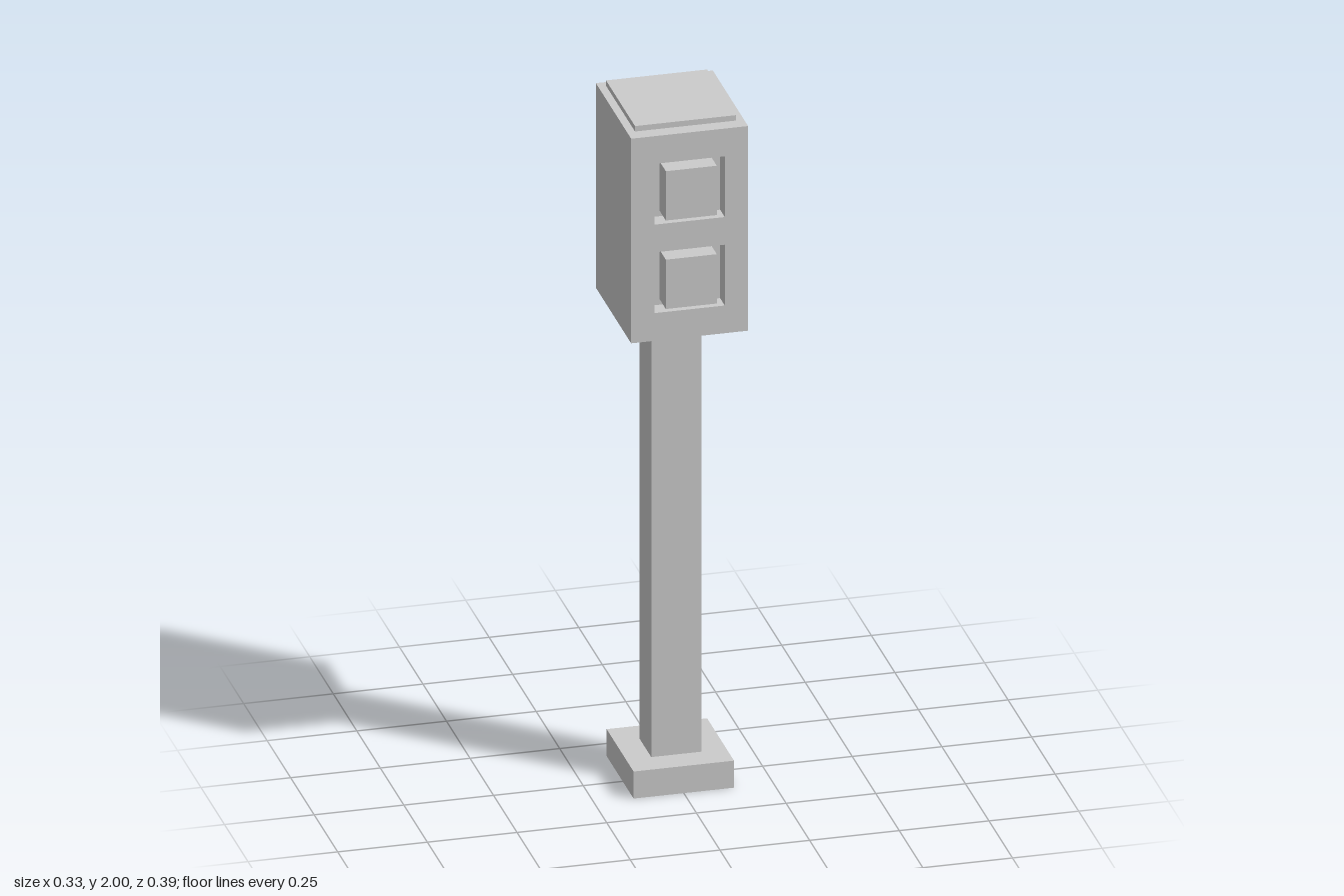
import * as THREE from 'three';

const material = new THREE.MeshStandardMaterial({ color: 0xcccccc, flatShading: true });

// Box given by its min and max corners
function box(name, [x0, y0, z0], [x1, y1, z1]) {
  const mesh = new THREE.Mesh(new THREE.BoxGeometry(x1 - x0, y1 - y0, z1 - z0), material);
  mesh.position.set((x0 + x1) / 2, (y0 + y1) / 2, (z0 + z1) / 2);
  mesh.name = name;
  return mesh;
}

// Traces a rectangle on a shape or path
function rect(path, x0, y0, x1, y1) {
  path.moveTo(x0, y0);
  path.lineTo(x1, y0);
  path.lineTo(x1, y1);
  path.lineTo(x0, y1);
  path.closePath();
  return path;
}

export function createModel() {
  const group = new THREE.Group();
  group.name = 'signalPost';

  // Foot and pole
  group.add(box('base', [-0.14, 0, -0.17], [0.14, 0.08, 0.116]));
  group.add(box('pole', [-0.07, 0.08, -0.09], [0.07, 1.37, 0.037]));

  // Thin plates under and over the housing
  group.add(box('bottomPlate', [-0.141, 1.363, -0.173], [0.141, 1.378, 0.135]));
  group.add(box('topPlate', [-0.141, 1.984, -0.173], [0.141, 2, 0.135]));

  // Housing: solid rear and a front panel with two square recesses
  const front = 0.178, recess = 0.05, half = 0.163, bottom = 1.378, top = 1.984;
  group.add(box('housing', [-half, bottom, -0.197], [half, top, front - recess]));
  const panel = rect(new THREE.Shape(), -half, bottom, half, top);
  const lampHeights = [1.55, 1.812];
  for (const y of lampHeights) {
    panel.holes.push(rect(new THREE.Path(), -0.098, y - 0.09, 0.098, y + 0.09));
    group.add(box('lamp', [-0.071, y - 0.073, front - recess], [0.071, y + 0.073, 0.196]));
  }
  const panelMesh = new THREE.Mesh(
    new THREE.ExtrudeGeometry(panel, { depth: recess, bevelEnabled: false }), material);
  panelMesh.position.z = front - recess;
  panelMesh.name = 'frontPanel';
  group.add(panelMesh);

  return group;
}
